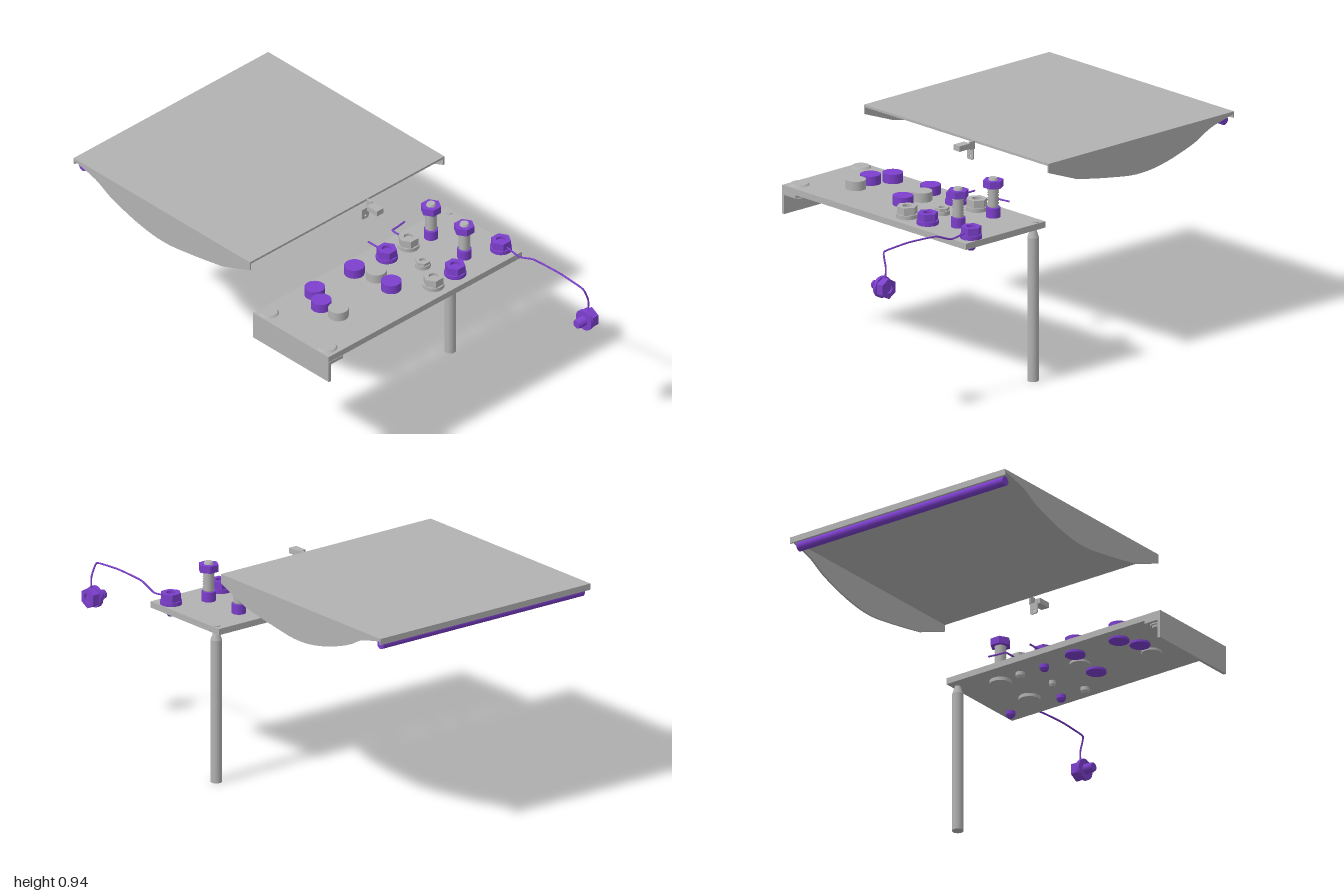
import * as THREE from 'three';

export function createModel() {
  const root = new THREE.Group();
  root.name = 'panelAssembly';
  const grey = new THREE.MeshStandardMaterial({ color: 0xb2b2b2 });
  grey.name = 'grey metal';
  const purple = new THREE.MeshStandardMaterial({ color: 0x7c3fcc });
  purple.name = 'purple';

  const add = (name, geo, mat, x = 0, y = 0, z = 0, parent = root) => {
    const m = new THREE.Mesh(geo, mat);
    m.name = name;
    m.position.set(x, y, z);
    parent.add(m);
    return m;
  };
  // box given by its limits
  const box = (name, mat, x0, x1, y0, y1, z0, z1) =>
    add(name, new THREE.BoxGeometry(x1 - x0, y1 - y0, z1 - z0), mat, (x0 + x1) / 2, (y0 + y1) / 2, (z0 + z1) / 2);
  // upright cylinder between two heights
  const cyl = (name, mat, x, z, y0, y1, r, sides = 32, parent = root, rTop = r) => {
    const g = new THREE.CylinderGeometry(rTop, r, y1 - y0, sides);
    const flat = sides < 12 ? g.toNonIndexed() : g;
    if (sides < 12) flat.computeVertexNormals();
    return add(name, flat, mat, x, (y0 + y1) / 2, z, parent);
  };
  // hexagonal ring with a bore
  const hexNut = (name, mat, x, z, y0, y1, r, bore, parent = root) => {
    const s = new THREE.Shape();
    for (let i = 0; i < 6; i++) s[i ? 'lineTo' : 'moveTo'](r * Math.cos(i * Math.PI / 3), r * Math.sin(i * Math.PI / 3));
    s.closePath();
    s.holes.push(new THREE.Path().absarc(0, 0, bore, 0, Math.PI * 2, true));
    const g = new THREE.ExtrudeGeometry(s, { depth: y1 - y0, bevelEnabled: false, curveSegments: 12 });
    g.rotateX(-Math.PI / 2);
    return add(name, g, mat, x, y0, z, parent);
  };
  const wire = (name, pts, tension = 0.3) => {
    const c = new THREE.CatmullRomCurve3(pts.map(p => new THREE.Vector3(...p)), false, 'catmullrom', tension);
    add(name, new THREE.TubeGeometry(c, 64, 0.004, 8), purple);
  };

  // Lid: thin sheet, back lip and two curved cheeks
  box('lidSheet', grey, -0.56, 0.56, 0.925, 0.935, -1, 0.057);
  box('lidBackLip', grey, -0.56, 0.56, 0.908, 0.925, -1, -0.993);
  const cheek = new THREE.Shape();
  cheek.moveTo(0.057, 0.925);
  cheek.lineTo(0.057, 0.895);
  cheek.lineTo(-0.107, 0.833);
  cheek.splineThru([[-0.28, 0.802], [-0.45, 0.781], [-0.6, 0.796], [-0.765, 0.843], [-0.87, 0.893], [-0.993, 0.922]]
    .map(p => new THREE.Vector2(...p)));
  cheek.lineTo(-0.993, 0.925);
  cheek.closePath();
  for (const x of [-0.552, 0.56]) {
    const g = new THREE.ExtrudeGeometry(cheek, { depth: 0.008, bevelEnabled: false, curveSegments: 6 });
    g.rotateY(-Math.PI / 2); // profile x -> z, thickness -> -x
    add('lidCheek', g, grey, x, 0, 0);
  }
  const bar = new THREE.CylinderGeometry(0.02, 0.02, 1.075, 24).rotateZ(Math.PI / 2);
  add('hingeBar', bar, purple, -0.002, 0.897, -0.968);

  // Latch: small block with a drilled hanging tab
  box('latchBlock', grey, 0.082, 0.12, 0.906, 0.93, 0.09, 0.15);
  box('latchArm', grey, 0.108, 0.118, 0.9, 0.935, 0.06, 0.09);
  const tab = new THREE.Shape();
  tab.moveTo(-0.019, 0.05);
  tab.lineTo(-0.019, 0.01);
  tab.quadraticCurveTo(-0.019, 0, -0.009, 0);
  tab.lineTo(0.009, 0);
  tab.quadraticCurveTo(0.019, 0, 0.019, 0.01);
  tab.lineTo(0.019, 0.05);
  tab.closePath();
  tab.holes.push(new THREE.Path().absarc(0, 0.015, 0.005, 0, Math.PI * 2, true));
  add('latchTab', new THREE.ExtrudeGeometry(tab, { depth: 0.005, bevelEnabled: false }), grey, 0.095, 0.85, 0.063);

  // Base plate and the angle bracket under its right-hand end
  box('basePlate', grey, -0.557, 0.557, 0.661, 0.688, 0.073, 0.525);
  box('bracketWall', grey, -0.557, -0.543, 0.564, 0.661, 0.073, 0.527);
  box('bracketShelf', grey, -0.543, -0.475, 0.647, 0.661, 0.073, 0.527);
  for (const z of [0.12, 0.47]) {
    cyl('rivetHead', grey, -0.51, z, 0.688, 0.696, 0.042, 32, root, 0.036);
    cyl('rivetWasher', grey, -0.51, z, 0.641, 0.647, 0.034);
    cyl('rivetTail', grey, -0.51, z, 0.632, 0.641, 0.025);
  }

  // Leg with an angled top
  cyl('leg', grey, 0.533, 0.12, 0, 0.625, 0.024);
  cyl('legTop', grey, 0.533, 0.12, 0.625, 0.661, 0.024, 32, root, 0.012);
  cyl('legScrew', grey, 0.537, 0.11, 0.688, 0.692, 0.014);

  // Round buttons passing through the plate
  const buttons = [[-0.28, 0.155, purple], [-0.325, 0.24, purple], [-0.315, 0.333, grey],
    [-0.052, 0.155, purple], [-0.01, 0.243, grey], [-0.02, 0.342, purple]];
  for (const [x, z, m] of buttons) cyl('button', m, x, z, 0.651, 0.728, 0.043);

  // Flanged hex terminals
  const terminals = [[0.12, 0.45, grey, 1], [0.245, 0.17, grey, 1], [0.12, 0.17, purple, 1],
    [0.245, 0.45, purple, 1], [0.508, 0.45, purple, 1], [0.188, 0.315, grey, 0.72]];
  for (const [x, z, m, s] of terminals) {
    const t = new THREE.Group();
    t.name = 'terminal';
    root.add(t);
    const top = s === 1 ? 0.738 : 0.718;
    cyl('terminalFlange', m, x, z, 0.688, 0.705, 0.046 * s, 32, t);
    hexNut('terminalNut', m, x, z, 0.705, top, 0.044 * s, 0.02 * s, t);
    cyl('terminalStud', m, x, z, 0.645, top - 0.012, 0.02 * s, 24, t);
    cyl('terminalTail', m, x, z, 0.635, 0.645, 0.013 * s, 24, t, 0.02 * s);
  }

  // Tall threaded posts: collar, ridged rod, hex cap and lower washer
  for (const z of [0.185, 0.385]) {
    const p = new THREE.Group();
    p.name = 'threadedPost';
    root.add(p);
    cyl('postCollar', purple, 0.36, z, 0.688, 0.73, 0.03, 32, p);
    const profile = [new THREE.Vector2(0, 0)];
    const turns = 10, pitch = 0.0115;
    for (let i = 0; i < turns; i++) {
      profile.push(new THREE.Vector2(0.019, i * pitch), new THREE.Vector2(0.025, (i + 0.5) * pitch));
    }
    profile.push(new THREE.Vector2(0.019, turns * pitch), new THREE.Vector2(0, turns * pitch));
    add('postThread', new THREE.LatheGeometry(profile, 24), grey, 0.36, 0.73, z, p);
    hexNut('postNut', purple, 0.36, z, 0.818, 0.849, 0.044, 0.02, p);
    cyl('postTip', grey, 0.36, z, 0.845, 0.859, 0.022, 24, p, 0.017);
    cyl('postWasher', grey, 0.36, z, 0.646, 0.661, 0.046, 32, p);
  }

  // Wires
  wire('longWire', [[0.507, 0.722, 0.45], [0.507, 0.705, 0.56], [0.506, 0.735, 0.65], [0.506, 0.743, 0.8],
    [0.506, 0.738, 0.9], [0.506, 0.732, 0.945], [0.516, 0.705, 0.952], [0.527, 0.67, 0.954], [0.526, 0.62, 0.955]]);
  wire('shortWire', [[0.12, 0.718, 0.17], [0.118, 0.718, 0.11], [0.117, 0.718, 0.062]]);
  wire('bentWire', [[0.245, 0.718, 0.17], [0.245, 0.718, 0.08], [0.25, 0.718, 0.069], [0.28, 0.718, 0.067], [0.328, 0.718, 0.06]]);

  // Hanging plug, built upright and laid along x
  const plug = new THREE.Group();
  plug.name = 'plug';
  plug.position.set(0.55, 0.583, 0.955);
  plug.rotation.z = Math.PI / 2;
  root.add(plug);
  hexNut('plugNut', purple, 0, 0, 0.002, 0.038, 0.044, 0.02, plug);
  cyl('plugCore', purple, 0, 0, 0.012, 0.05, 0.02, 24, plug);
  cyl('plugFlange', purple, 0, 0, 0.036, 0.051, 0.046, 32, plug);
  for (let i = 0; i < 3; i++) cyl('plugStem', purple, 0, 0, 0.051 + i * 0.014, 0.065 + i * 0.014, 0.022, 24, plug, 0.018);

  return root;
}
